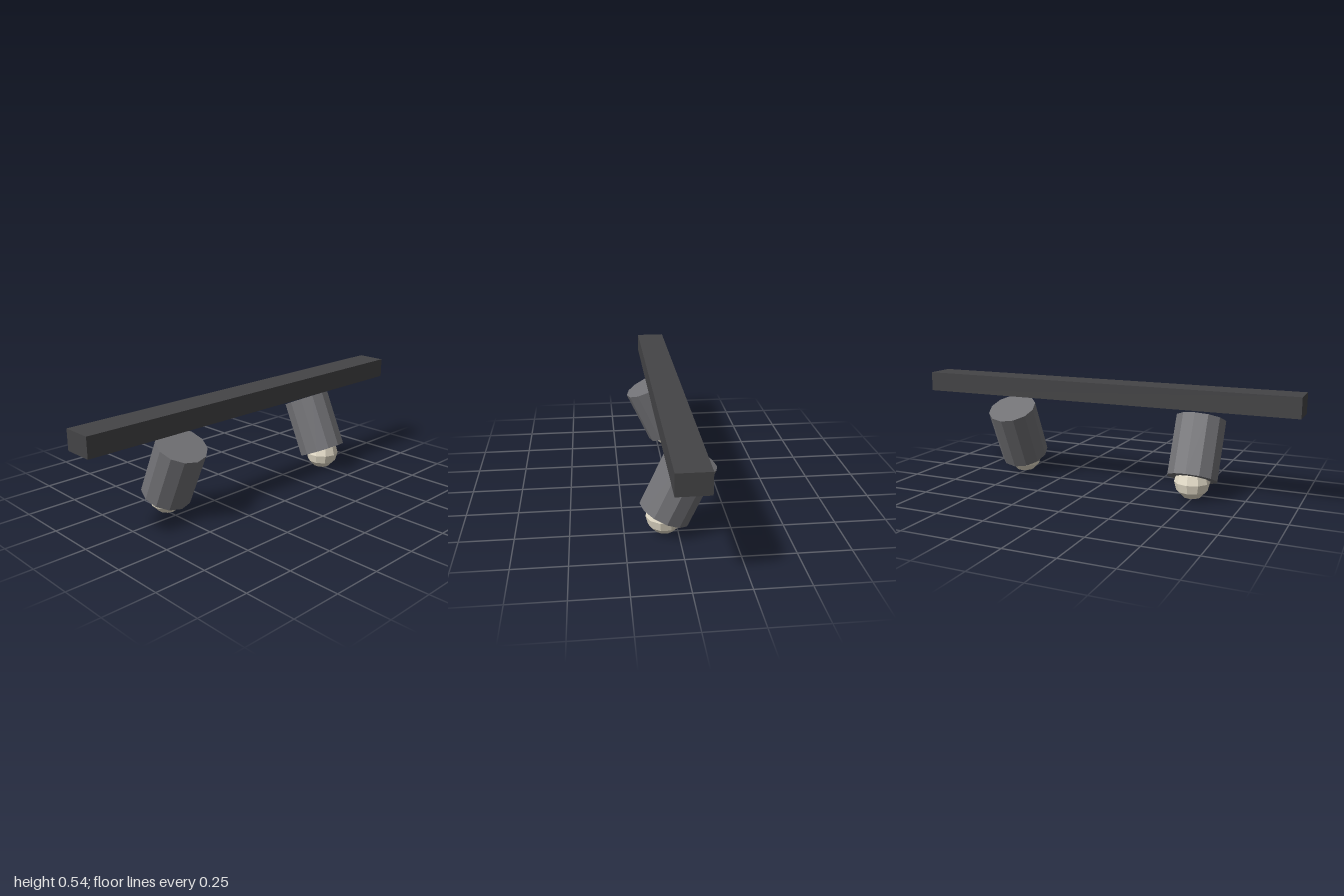
import * as THREE from 'three';

const material = (color) => new THREE.MeshStandardMaterial({ color, flatShading: true });

export function createModel() {
  const model = new THREE.Group();
  const railMat = material(0x444446);
  const housingMat = material(0x727276);
  const bulbMat = material(0xe8e0cc);

  const add = (parent, name, geometry, mat) => {
    const mesh = new THREE.Mesh(geometry, mat);
    mesh.name = name;
    parent.add(mesh);
    return mesh;
  };

  // Long ceiling rail
  add(model, 'rail', new THREE.BoxGeometry(2, 0.1, 0.15), railMat).position.y = 0.4875;

  // Two spotlights tilted in opposite directions
  const tilt = THREE.MathUtils.degToRad(25);
  for (const side of [1, -1]) {
    const lamp = new THREE.Group();
    lamp.name = side > 0 ? 'leftSpotlight' : 'rightSpotlight';
    lamp.position.set(side * 0.5, 0.238, 0);

    const housing = add(lamp, 'housing', new THREE.CylinderGeometry(0.125, 0.125, 0.3, 12), housingMat);
    housing.rotation.x = -side * tilt;

    // Bulb stays upright at the open end of the housing
    const bulb = add(lamp, 'bulb', new THREE.SphereGeometry(0.0875, 10, 6), bulbMat);
    bulb.position.set(0, -0.15, side * 0.063);
    bulb.rotation.y = Math.PI / 2;
    model.add(lamp);
  }
  return model;
}
